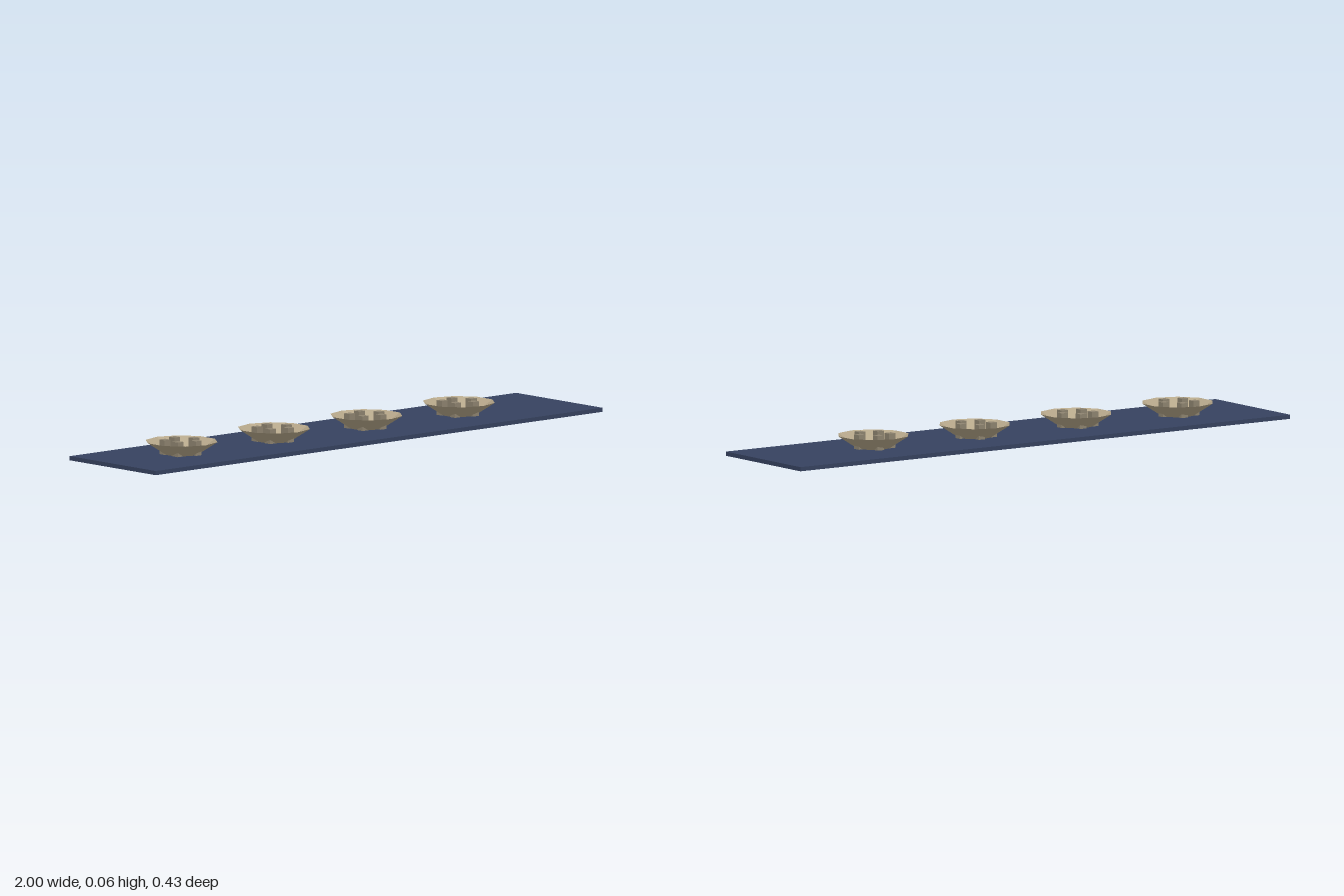
import * as THREE from 'three';

export function createModel() {
  const model = new THREE.Group();
  const navy = new THREE.MeshStandardMaterial({ color: 0x36425f });
  const sand = new THREE.MeshStandardMaterial({ color: 0xb5a689, flatShading: true, side: THREE.DoubleSide });
  const stone = new THREE.MeshStandardMaterial({ color: 0x8e8470 });

  const boardTop = 0.014, boardDepth = 0.426;
  const dishTop = 0.057, postTop = 0.063;
  const postSize = 0.026, postRing = 0.0557;

  function addMesh(parent, name, geometry, material, x, y, z) {
    const mesh = new THREE.Mesh(geometry, material);
    mesh.name = name;
    mesh.position.set(x, y, z);
    parent.add(mesh);
  }

  // Flat board
  addMesh(model, 'board', new THREE.BoxGeometry(2, boardTop, boardDepth), navy, 0, boardTop / 2, 0);

  // Open ten-sided dish wall and the small post shared by all four dishes
  const dishHeight = dishTop - boardTop;
  const dishGeometry = new THREE.CylinderGeometry(0.122, 0.056, dishHeight, 10, 1, true);
  const postHeight = postTop - boardTop;
  const postGeometry = new THREE.BoxGeometry(postSize, postHeight, postSize);

  // Row of dishes, each with a ring of five square posts
  for (let i = 0; i < 4; i++) {
    const unit = new THREE.Group();
    unit.name = 'dishWithPosts' + (i + 1);
    unit.position.set(-0.692 + i * 0.414, boardTop, 0);
    addMesh(unit, 'dish', dishGeometry, sand, 0, dishHeight / 2, 0);
    for (let k = 0; k < 5; k++) {
      const a = (k / 5) * Math.PI * 2;
      addMesh(unit, 'post', postGeometry, stone, Math.cos(a) * postRing, postHeight / 2, Math.sin(a) * postRing);
    }
    model.add(unit);
  }
  return model;
}
